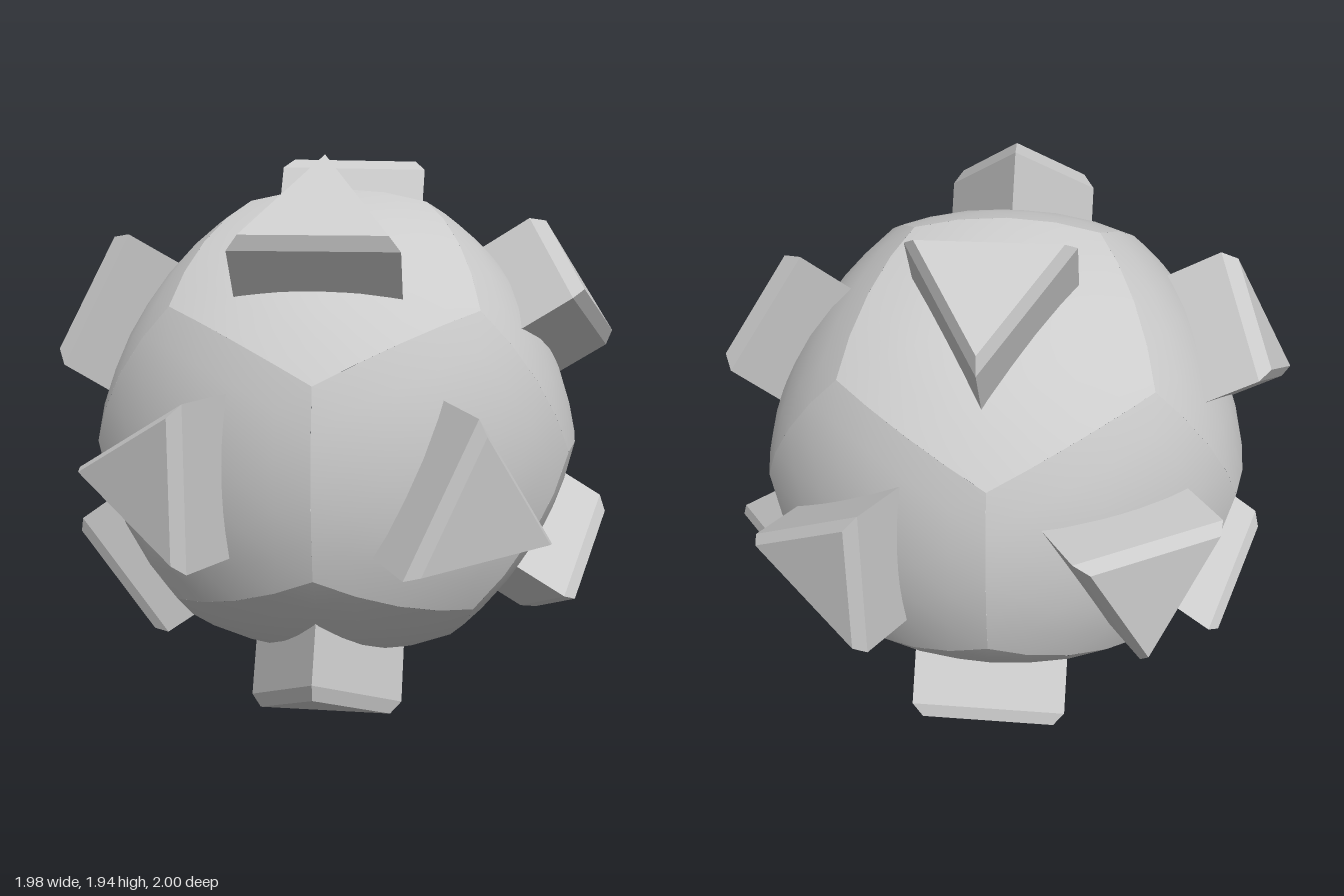
import * as THREE from 'three';
import { mergeVertices, mergeGeometries } from 'three/addons/utils/BufferGeometryUtils.js';

const V = (x, y, z) => new THREE.Vector3(x, y, z);

// Rotation with local z along n and local x leaning toward hint
function frame(n, hint) {
  const z = n.clone().normalize();
  const x = hint.clone().addScaledVector(z, -hint.dot(z)).normalize();
  return new THREE.Matrix4().makeBasis(x, z.clone().cross(x), z);
}

// One bulging pentagonal panel around local +z, with a corner toward local +x
function panelGeometry() {
  const N = 4, polar = Math.acos(0.7947);
  const corner = k => V(0, 0, 1).applyAxisAngle(V(0, 1, 0), polar)
    .applyAxisAngle(V(0, 0, 1), k * Math.PI * 0.4);
  const pos = [];
  for (let k = 0; k < 5; k++) {
    const a = corner(k), b = corner(k + 1);
    const point = (i, j) => {
      const p = V(0, 0, 1 - (i + j) / N).addScaledVector(a, i / N).addScaledVector(b, j / N).normalize();
      return p.multiplyScalar(0.802 + 0.149 * (1 - p.z * p.z));
    };
    const tri = (...q) => q.forEach(([i, j]) => pos.push(...point(i, j).toArray()));
    for (let i = 0; i < N; i++) {
      for (let j = 0; i + j < N; j++) {
        tri([i, j], [i + 1, j], [i, j + 1]);
        if (i + j < N - 1) tri([i + 1, j], [i + 1, j + 1], [i, j + 1]);
      }
    }
  }
  let g = new THREE.BufferGeometry();
  g.setAttribute('position', new THREE.Float32BufferAttribute(pos, 3));
  g = mergeVertices(g, 1e-4);
  g.computeVertexNormals();
  return g;
}

// Chamfered triangular stud along local +z, with its tip toward local +x
function studGeometry() {
  const R = 0.305;
  const shape = new THREE.Shape([0, 1, 2].map(k => {
    const a = k * Math.PI * 2 / 3;
    return new THREE.Vector2(R * Math.cos(a), R * Math.sin(a));
  }));
  return new THREE.ExtrudeGeometry(shape, {
    depth: 0.36, bevelThickness: 0.045, bevelSize: 0.03, bevelOffset: -0.03, bevelSegments: 1,
  }).translate(0, 0, 0.595);
}

// Stud axis, then the position of its tip
const STUDS = [
  [0, 0, 1, -0.305, 0, 0.955],
  [0, 0, -1, 0.305, 0, -0.955],
  [0.852, -0.075, 0.424, 0.86, 0.225, 0.455],
  [0.281, 0.774, 0.471, 0.156, 0.948, 0.263],
  [-0.719, 0.452, 0.406, -0.868, 0.452, 0.148],
  [-0.683, -0.564, 0.364, -0.83, -0.566, 0.1],
  [0.244, -0.836, 0.413, -0.047, -0.919, 0.44],
  [0.717, 0.53, -0.406, 0.86, 0.53, -0.15],
  [-0.232, 0.821, -0.424, -0.362, 0.67, -0.645],
  [-0.85, 0.012, -0.441, -0.852, -0.28, -0.447],
  [-0.276, -0.785, -0.472, -0.148, -0.96, -0.264],
  [0.715, -0.507, -0.421, 0.866, -0.511, -0.152],
];

export function createModel() {
  const group = new THREE.Group();
  const center = 0.975;

  // Ball: twelve panels, two at the poles of z and a ring of five near each
  const panel = panelGeometry();
  const panels = [];
  for (const s of [1, -1]) {
    panels.push(panel.clone().applyMatrix4(frame(V(0, 0, s), V(-s, 0, 0))));
    for (let k = 0; k < 5; k++) {
      const a = k * Math.PI * 0.4;
      const n = V(s * 2 * Math.cos(a), s * 2 * Math.sin(a), s);
      panels.push(panel.clone().applyMatrix4(frame(n, V(0, 0, -s))));
    }
  }
  const ball = new THREE.Mesh(mergeGeometries(panels), new THREE.MeshStandardMaterial({ color: 0xcccccc }));
  ball.name = 'ball';
  ball.position.y = center;
  group.add(ball);

  // Studs, one on each panel
  const studs = new THREE.Group();
  studs.name = 'studs';
  studs.position.y = center;
  const stud = studGeometry();
  const studMaterial = new THREE.MeshStandardMaterial({ color: 0xcccccc, flatShading: true });
  STUDS.forEach(([x, y, z, tx, ty, tz], i) => {
    const mesh = new THREE.Mesh(stud, studMaterial);
    mesh.name = `stud${i + 1}`;
    mesh.quaternion.setFromRotationMatrix(frame(V(x, y, z), V(tx, ty, tz)));
    studs.add(mesh);
  });
  group.add(studs);
  return group;
}
